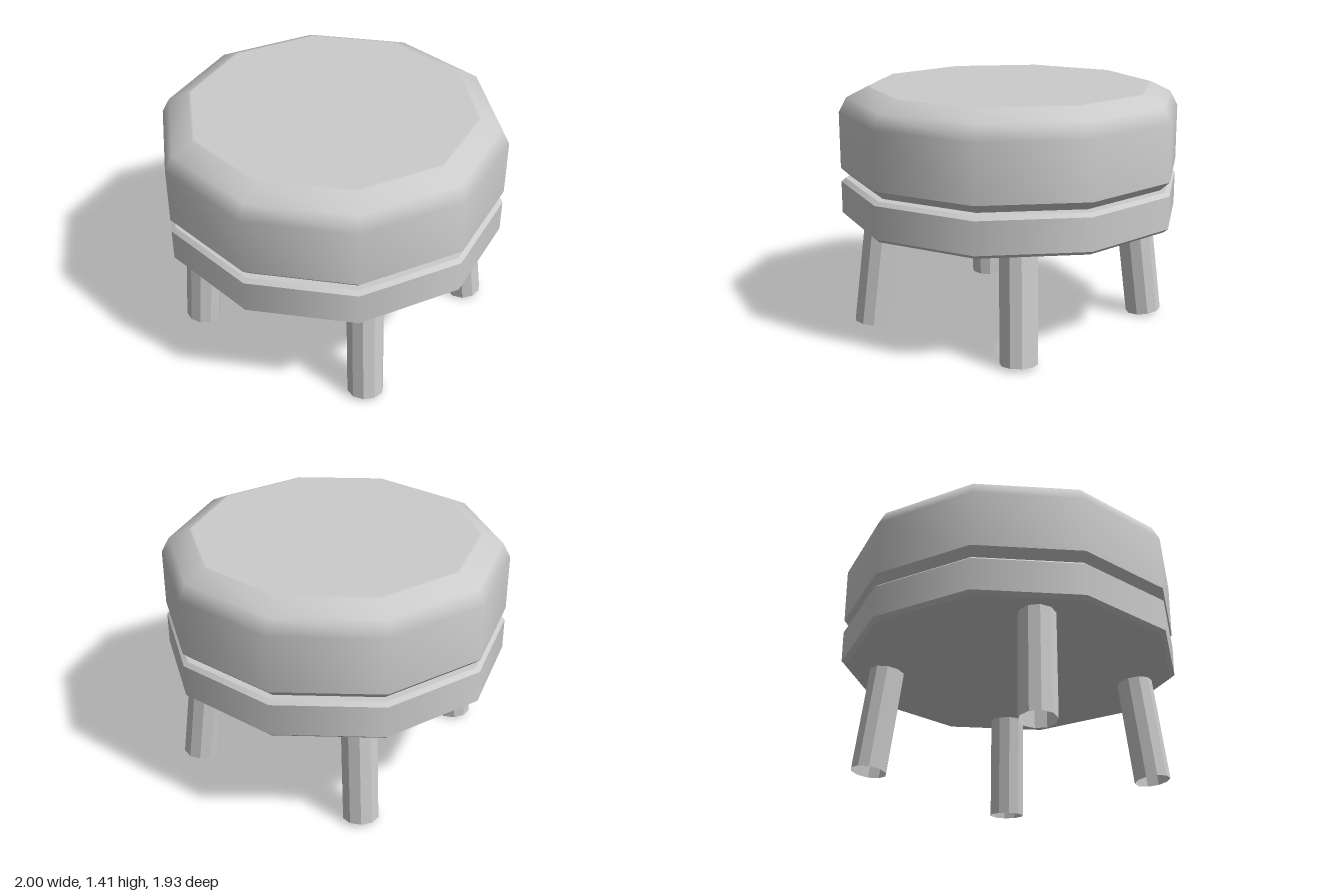
import * as THREE from 'three';

const SIDES = 10;
const TURN = THREE.MathUtils.degToRad(15.5);
const grey = new THREE.MeshStandardMaterial({ color: 0xcccccc });
const legGrey = new THREE.MeshStandardMaterial({ color: 0xcccccc, flatShading: true, side: THREE.DoubleSide });

// Ten-sided turned part; each section is smooth, with a crease between sections.
function turned(name, sections) {
  const group = new THREE.Group();
  group.name = name;
  for (const [part, profile] of Object.entries(sections)) {
    const points = profile.map(([r, y]) => new THREE.Vector2(r, y));
    const mesh = new THREE.Mesh(new THREE.LatheGeometry(points, SIDES, TURN), grey);
    mesh.name = part;
    group.add(mesh);
  }
  return group;
}

// Open tube running from the bottom centre to the top centre.
function leg(name, bottom, top) {
  const a = new THREE.Vector3(...bottom);
  const b = new THREE.Vector3(...top);
  const axis = b.clone().sub(a);
  const mesh = new THREE.Mesh(new THREE.CylinderGeometry(0.105, 0.105, axis.length(), 10, 1, true), legGrey);
  mesh.name = name;
  mesh.position.copy(a).add(b).multiplyScalar(0.5);
  mesh.quaternion.setFromUnitVectors(new THREE.Vector3(0, 1, 0), axis.normalize());
  return mesh;
}

export function createModel() {
  const stool = new THREE.Group();
  stool.name = 'stool';

  // Padded seat with a rounded upper rim
  stool.add(turned('cushion', {
    cushionUnderside: [[0, 0.885], [0.945, 0.885]],
    cushionLowerBevel: [[0.945, 0.885], [1, 0.935]],
    cushionBody: [[1, 0.935], [1, 1.265], [0.955, 1.35], [0.835, 1.41], [0.82, 1.412], [0, 1.412]],
  }));

  // Thin disc below the cushion
  stool.add(turned('seatBase', {
    baseUnderside: [[0, 0.647], [0.975, 0.647]],
    baseLowerBevel: [[0.975, 0.647], [1, 0.668]],
    baseRim: [[1, 0.668], [1, 0.855]],
    baseUpperBevel: [[1, 0.855], [0.975, 0.875]],
    baseTop: [[0.975, 0.875], [0, 0.875]],
  }));

  // Splayed legs
  stool.add(
    leg('frontLeg', [0.295, 0.013, 0.795], [0.275, 0.635, 0.72]),
    leg('leftLeg', [0.825, 0.013, -0.165], [0.75, 0.635, -0.15]),
    leg('backLeg', [-0.14, 0.013, -0.8], [-0.125, 0.635, -0.725]),
    leg('rightLeg', [-0.77, 0.013, 0.275], [-0.725, 0.635, 0.268]),
  );
  return stool;
}
